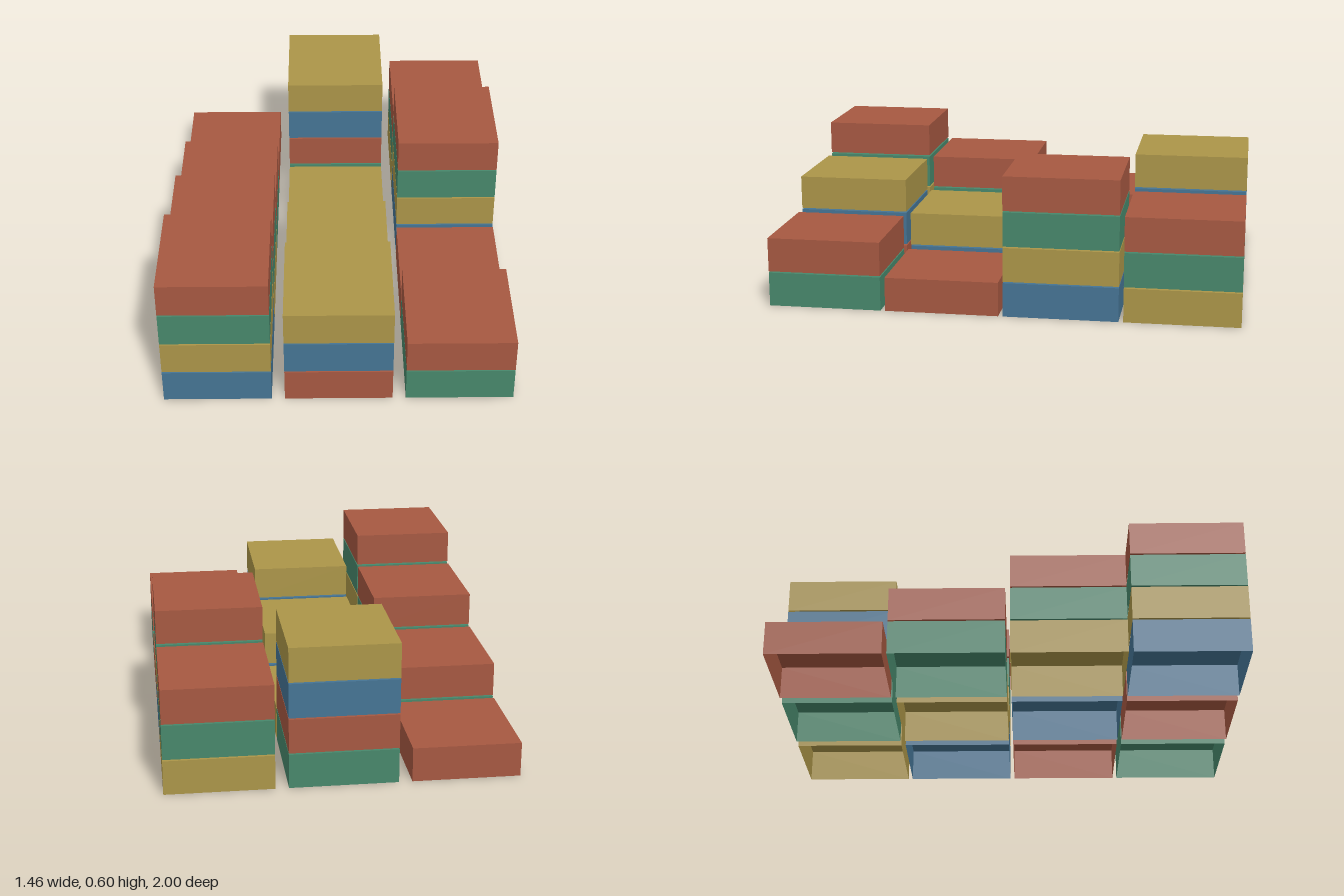
import * as THREE from 'three';

const WIDTH = 0.45, HEIGHT = 0.146, DEPTH = 0.485;
const PITCH_X = 0.505, PITCH_Y = 0.152, PITCH_Z = 0.505;

// Stack colours from bottom to top; rows run front to back, stacks from -x to +x
const LAYOUT = [
  ['BYGR', 'RBY', 'GR'],
  ['YGR', 'BY', 'R'],
  ['GR', 'Y', 'BYGR'],
  ['R', 'GRBY', 'YGR'],
];

// Thin-walled box, open underneath
function openBoxGeometry() {
  const geometry = new THREE.BoxGeometry(WIDTH, HEIGHT, DEPTH);
  const index = Array.from(geometry.index.array);
  index.splice(18, 6); // drop the bottom face
  geometry.setIndex(index);
  geometry.clearGroups();
  return geometry;
}

function paint(name, color) {
  const material = new THREE.MeshStandardMaterial({ color, side: THREE.DoubleSide });
  material.name = name;
  return material;
}

export function createModel() {
  const model = new THREE.Group();
  model.name = 'containerYard';

  const paints = {
    R: paint('rustRed', 0xa65841),
    Y: paint('ochreYellow', 0xab9548),
    B: paint('steelBlue', 0x457494),
    G: paint('seaGreen', 0x47876b),
  };
  const geometry = openBoxGeometry();

  LAYOUT.forEach((row, r) => row.forEach((colours, c) => {
    const stack = new THREE.Group();
    stack.name = `stackRow${r + 1}Column${c + 1}`;
    stack.position.set((c - 1) * PITCH_X, 0, (1.5 - r) * PITCH_Z);
    [...colours].forEach((key, level) => {
      const container = new THREE.Mesh(geometry, paints[key]);
      container.name = `container${level + 1}`;
      container.position.y = HEIGHT / 2 + level * PITCH_Y;
      stack.add(container);
    });
    model.add(stack);
  }));

  return model;
}
